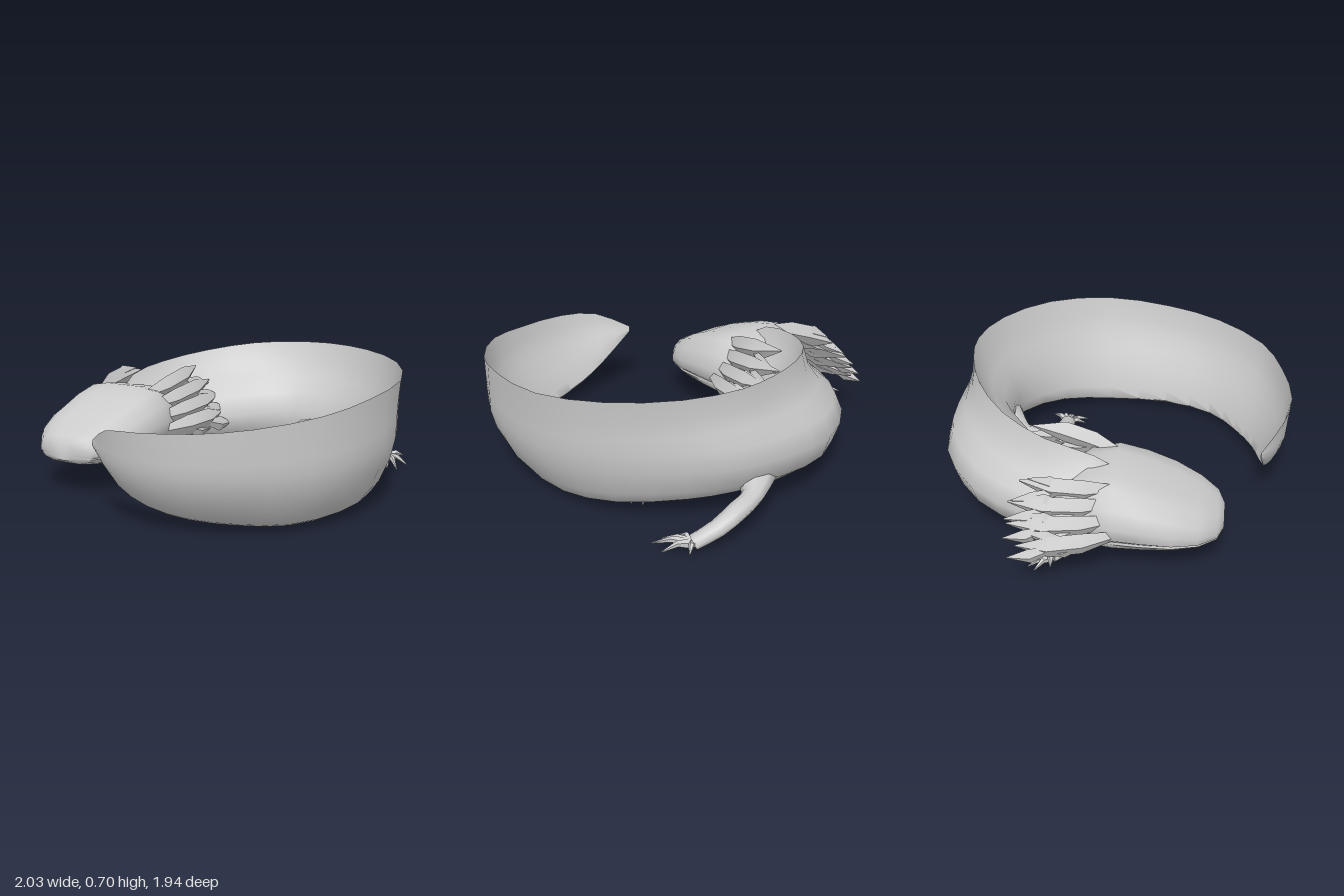
import * as THREE from 'three';
import { toCreasedNormals } from 'three/addons/utils/BufferGeometryUtils.js';

const V = (x, y, z) => new THREE.Vector3(x, y, z);
const material = new THREE.MeshStandardMaterial({ color: 0xcccccc, side: THREE.DoubleSide, roughness: 0.8 });

// Skin over closed cross-sections, capped at both ends, always facing outwards
function loft(rings, crease = 0.9) {
  const n = rings[0].length;
  const points = rings.flat();
  const index = [];
  for (let i = 0; i < rings.length - 1; i++) {
    for (let j = 0; j < n; j++) {
      const a = i * n + j, b = i * n + (j + 1) % n;
      index.push(a, b, b + n, a, b + n, a + n);
    }
  }
  const last = (rings.length - 1) * n;
  for (let j = 1; j < n - 1; j++) {
    index.push(0, j + 1, j, last, last + j, last + j + 1);
  }
  let volume = 0;
  for (let i = 0; i < index.length; i += 3) {
    volume += points[index[i]].dot(points[index[i + 1]].clone().cross(points[index[i + 2]]));
  }
  if (volume < 0) index.reverse();
  const geometry = new THREE.BufferGeometry().setFromPoints(points);
  geometry.setIndex(index);
  return toCreasedNormals(geometry, crease);
}

// Tapered limb along a list of points
function limb(points, radii, sides = 8, flat = 1) {
  const rings = points.map((p, i) => {
    const t = points[Math.min(i + 1, points.length - 1)].clone().sub(points[Math.max(i - 1, 0)]).normalize();
    const side = t.clone().cross(V(0, 1, 0)).normalize();
    const up = side.clone().cross(t);
    return Array.from({ length: sides }, (_, j) => {
      const a = (j / sides) * Math.PI * 2;
      return p.clone().addScaledVector(side, Math.cos(a) * radii[i] * flat).addScaledVector(up, Math.sin(a) * radii[i]);
    });
  });
  return loft(rings, sides < 6 ? 0.4 : 1);
}

function add(parent, geometry, name) {
  const mesh = new THREE.Mesh(geometry, material);
  mesh.name = name;
  parent.add(mesh);
}

// Evenly many points per segment of a smooth curve
const smooth = (points, steps) => new THREE.CatmullRomCurve3(points).getPoints(steps);

// Full closed outline from a half outline running from bottom to top
const mirrored = (half, at) => [
  ...half.map((p) => at(p, 1)),
  ...half.slice(1, -1).reverse().map((p) => at(p, -1)),
];

function createBody() {
  // Fin edge x, y, z; belly edge x, y, z; half width
  const stations = [
    [-0.60, 0.46, 0.10, -0.60, 0.15, 0.10, 0.24],
    [-0.61, 0.55, -0.03, -0.60, 0.12, -0.05, 0.25],
    [-0.56, 0.60, -0.28, -0.53, 0.10, -0.27, 0.235],
    [-0.41, 0.645, -0.52, -0.38, 0.10, -0.49, 0.25],
    [-0.18, 0.685, -0.69, -0.16, 0.10, -0.65, 0.23],
    [0.05, 0.70, -0.77, 0.06, 0.11, -0.71, 0.165],
    [0.27, 0.705, -0.79, 0.27, 0.12, -0.69, 0.13],
    [0.55, 0.70, -0.70, 0.46, 0.11, -0.62, 0.08],
    [0.82, 0.685, -0.47, 0.71, 0.07, -0.38, 0.05],
    [0.98, 0.655, -0.13, 0.81, 0.035, -0.10, 0.05],
    [0.97, 0.62, 0.25, 0.81, 0.03, 0.25, 0.05],
    [0.88, 0.585, 0.55, 0.70, 0.03, 0.53, 0.045],
    [0.67, 0.55, 0.81, 0.51, 0.04, 0.68, 0.04],
    [0.42, 0.52, 0.92, 0.30, 0.06, 0.78, 0.035],
    [0.13, 0.50, 0.965, 0.10, 0.10, 0.82, 0.03],
    [-0.08, 0.475, 0.915, -0.06, 0.18, 0.83, 0.022],
    [-0.25, 0.385, 0.80, -0.25, 0.35, 0.80, 0.004],
  ];
  // Height along the section and its share of the half width
  const profile = [[0, 0], [0.03, 0.5], [0.14, 0.88], [0.34, 1], [0.52, 0.8], [0.66, 0.42], [0.82, 0.14], [1, 0]];
  const steps = (stations.length - 1) * 2;
  const tops = smooth(stations.map((s) => V(s[0], s[1], s[2])), steps);
  const bottoms = smooth(stations.map((s) => V(s[3], s[4], s[5])), steps);
  const widths = smooth(stations.map((s, i) => V(s[6], i, 0)), steps);
  const mids = tops.map((t, i) => t.clone().lerp(bottoms[i], 0.6));
  const rings = tops.map((top, i) => {
    const t = mids[Math.min(i + 1, steps)].clone().sub(mids[Math.max(i - 1, 0)]);
    const side = V(t.z, 0, -t.x).normalize();
    // The tail bows outwards between its two edges
    const bow = 0.045 * Math.sin(Math.PI * Math.max(0, i / steps - 0.45) / 0.55);
    return mirrored(profile, ([v, k], sign) => bottoms[i].clone().lerp(top, v)
      .addScaledVector(side, sign * k * widths[i].x + bow * Math.sin(v * Math.PI)));
  });
  return loft(rings);
}

function createHead() {
  // z, half width, bottom, top
  const sections = [
    [-0.20, 0.17, 0.17, 0.40], [-0.06, 0.27, 0.13, 0.49], [0.08, 0.31, 0.135, 0.51],
    [0.22, 0.31, 0.14, 0.475], [0.37, 0.295, 0.145, 0.42], [0.50, 0.25, 0.155, 0.36],
    [0.59, 0.175, 0.17, 0.31], [0.622, 0.08, 0.19, 0.275],
  ];
  // Half outline, with the mouth as a shallow notch
  const half = [[0, 0], [0.5, 0.01], [0.82, 0.12], [0.94, 0.25], [0.93, 0.29], [1, 0.35], [1, 0.52], [0.92, 0.76], [0.68, 0.95], [0.35, 1], [0, 1]];
  return loft(sections.map(([z, w, y0, y1]) =>
    mirrored(half, ([k, v], s) => V(-0.6 + s * k * w, y0 + v * (y1 - y0), z))));
}

// Four leafy stalks on one side of the head, fanned from the crown down to the cheek
function createGills(side, height) {
  const group = new THREE.Group();
  for (let k = 0; k < 4; k++) {
    const base = V(-0.6 + side * (0.16 + 0.045 * k), 0.46 - 0.06 * k, 0.08);
    const tip = V(-0.6 + side * (0.2 + 0.06 * k), height - 0.085 * k, k % 3 ? -0.42 : -0.37);
    const along = (f) => base.clone().lerp(tip, f).add(V(side * 0.04 * Math.sin(f * Math.PI), 0, 0));
    add(group, limb([0, 0.3, 0.65, 1].map(along), [0.03, 0.06, 0.06, 0.004], 4, 0.55), 'gillStalk');
    for (let i = 0; i < 3; i++) {
      const start = along(0.2 + i * 0.17);
      const spread = i % 2 ? 1 : -1;
      const end = start.clone().add(V(side * (0.02 - 0.025 * spread), spread * 0.05, -0.24));
      const middle = start.clone().lerp(end, 0.55).add(V(side * 0.012, spread * 0.012, 0));
      add(group, limb([start, middle, end], [0.015, 0.042, 0.003], 4, 0.5), 'gillFilament');
    }
  }
  return group;
}

// Leg from hip to palm, with toes reaching the given points
function createLeg(path, radii, toes) {
  const group = new THREE.Group();
  const points = path.map((p) => V(...p));
  const steps = (path.length - 1) * 2;
  const sizes = smooth(radii.map((r, i) => V(r, i, 0)), steps).map((p) => p.x);
  add(group, limb(smooth(points, steps), sizes, 8, 1.25), 'limb');
  const palm = points[points.length - 1];
  const wrist = points[points.length - 2].clone().lerp(palm, 0.7);
  for (const toe of toes) {
    const end = V(...toe);
    const knuckle = palm.clone().lerp(end, 0.5).add(V(0, 0.018, 0));
    add(group, limb([wrist, palm.clone().lerp(end, 0.15), knuckle, end], [0.014, 0.024, 0.015, 0.003], 5), 'toe');
  }
  return group;
}

export function createModel() {
  const model = new THREE.Group();
  model.name = 'curledSalamander';
  add(model, createBody(), 'bodyAndTail');
  add(model, createHead(), 'head');

  const frontRadii = [0.05, 0.038, 0.028, 0.028];
  const backRadii = [0.08, 0.045, 0.044, 0.04, 0.036];
  const parts = {
    leftGills: createGills(1, 0.57),
    rightGills: createGills(-1, 0.51),
    frontLeftLeg: createLeg(
      [[-0.40, 0.19, -0.16], [-0.28, 0.15, -0.12], [-0.19, 0.135, -0.12], [-0.11, 0.13, -0.18]], frontRadii,
      [[0, 0.12, -0.18], [-0.04, 0.11, -0.33], [-0.08, 0.12, -0.36], [-0.14, 0.11, -0.32]]),
    frontRightLeg: createLeg(
      [[-0.70, 0.19, -0.20], [-0.78, 0.16, -0.16], [-0.84, 0.14, -0.16], [-0.89, 0.13, -0.21]], frontRadii,
      [[-0.99, 0.15, -0.20], [-0.99, 0.12, -0.28], [-0.93, 0.09, -0.32], [-0.82, 0.08, -0.30]]),
    backLeftLeg: createLeg(
      [[0.24, 0.22, -0.64], [0.15, 0.17, -0.53], [0.21, 0.13, -0.42], [0.35, 0.08, -0.34], [0.49, 0.045, -0.33]], backRadii,
      [[0.59, 0.03, -0.43], [0.62, 0.02, -0.37], [0.62, 0.01, -0.31], [0.60, 0.005, -0.22], [0.54, 0.01, -0.23]]),
    backRightLeg: createLeg(
      [[0.15, 0.20, -0.78], [0.27, 0.17, -0.88], [0.40, 0.16, -0.92], [0.52, 0.11, -0.915], [0.63, 0.055, -0.87]], backRadii,
      [[0.70, 0.05, -0.93], [0.77, 0.03, -0.81], [0.75, 0.02, -0.71], [0.69, 0.02, -0.71], [0.61, 0.03, -0.75]]),
  };
  for (const [name, part] of Object.entries(parts)) {
    part.name = name;
    model.add(part);
  }
  return model;
}
